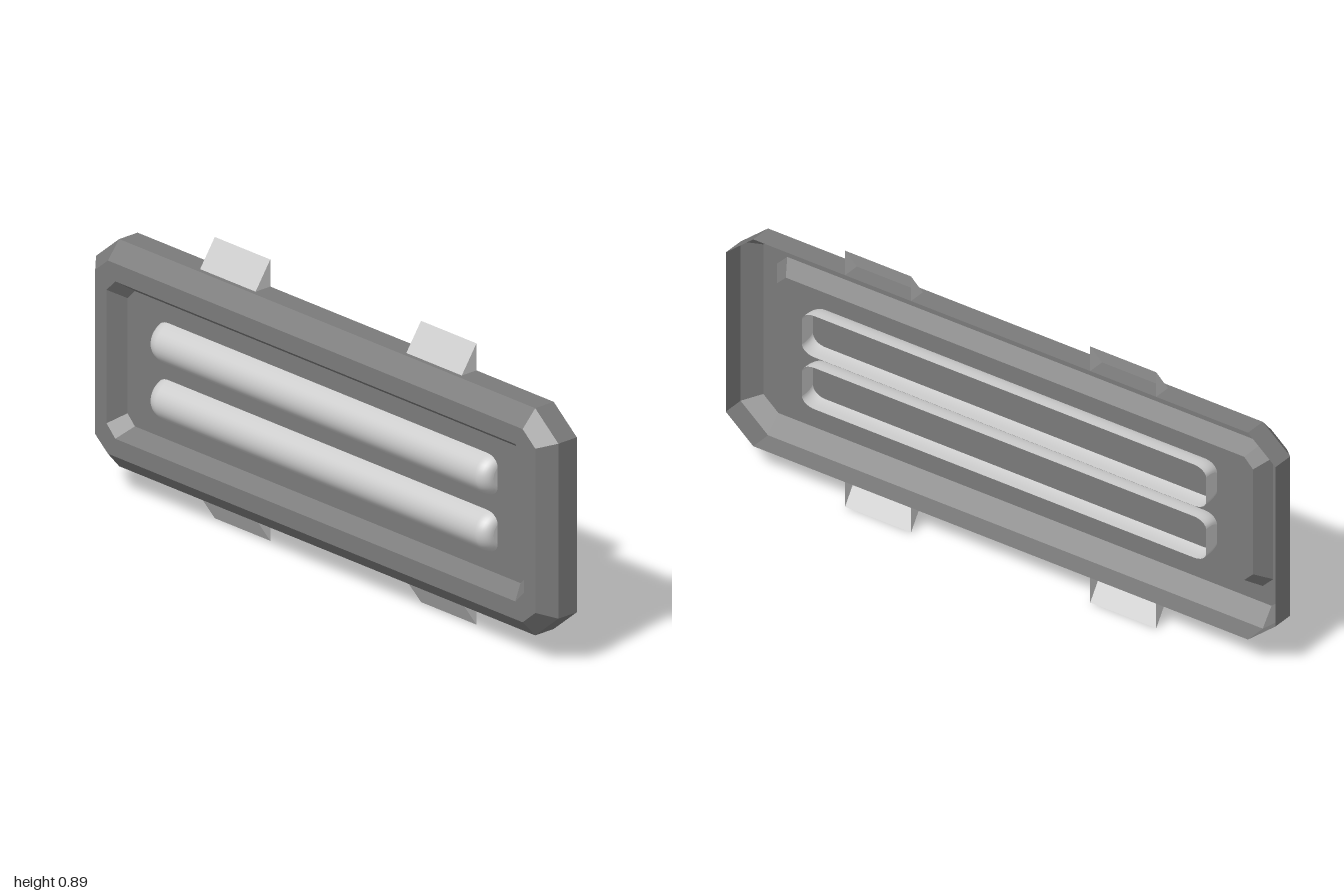
import * as THREE from 'three';

const MID_Y = 0.447;
const dark = new THREE.MeshStandardMaterial({ color: 0x7a7a7a, flatShading: true, side: THREE.DoubleSide });
const light = new THREE.MeshStandardMaterial({ color: 0xcccccc, flatShading: true, side: THREE.DoubleSide });
const smooth = new THREE.MeshStandardMaterial({ color: 0xcccccc, side: THREE.DoubleSide });

// Rectangle with cut corners, counter-clockwise seen from the front
function octagon(hx, hy, cx, cy, z) {
  return [
    [hx, -hy + cy], [hx, hy - cy], [hx - cx, hy], [-hx + cx, hy],
    [-hx, hy - cy], [-hx, -hy + cy], [-hx + cx, -hy], [hx - cx, -hy],
  ].map(([x, y]) => new THREE.Vector3(x, y, z));
}

// Skin between successive loops; the last loop can be filled with a fan
function loft(loops, { closed = true, capStart = false, capEnd = false } = {}) {
  const n = loops[0].length;
  const points = loops.flat();
  const index = [];
  for (let i = 0; i < loops.length - 1; i++) {
    for (let j = 0; j < (closed ? n : n - 1); j++) {
      const a = i * n + j, b = i * n + ((j + 1) % n);
      index.push(a, b, b + n, a, b + n, a + n);
    }
  }
  const cap = (loop, flip) => {
    const base = points.length;
    points.push(...loop);
    for (let j = 1; j < n - 1; j++) {
      index.push(base, base + (flip ? j + 1 : j), base + (flip ? j : j + 1));
    }
  };
  if (capStart) cap(loops[0], true);
  if (capEnd) cap(loops[loops.length - 1], false);
  const geometry = new THREE.BufferGeometry().setFromPoints(points);
  geometry.setIndex(index);
  geometry.computeVertexNormals();
  return geometry;
}

function add(parent, name, geometry, material) {
  const mesh = new THREE.Mesh(geometry, material);
  mesh.name = name;
  parent.add(mesh);
  return mesh;
}

// Half-round hollow bar along x, open at the back, with rounded ends
function lampTube() {
  const halfLength = 0.735, endLength = 0.045, zMid = -0.028, zBack = -0.045;
  const section = (x, s) => {
    const loop = [new THREE.Vector3(x, -0.072 * s, zBack)];
    for (let j = 0; j <= 20; j++) {
      const a = -Math.PI / 2 + (Math.PI * j) / 20;
      loop.push(new THREE.Vector3(x, 0.072 * s * Math.sin(a), zMid + 0.09 * s * Math.cos(a)));
    }
    loop.push(new THREE.Vector3(x, 0.072 * s, zBack));
    return loop;
  };
  const ends = [];
  for (let i = 0; i <= 8; i++) {
    const t = (Math.PI / 2) * (i / 8);
    ends.push([halfLength - endLength * (1 - Math.cos(t)), 0.6 + 0.4 * Math.sin(t)]);
  }
  const loops = [
    ...ends.map(([x, s]) => section(-x, s)),
    ...ends.reverse().map(([x, s]) => section(x, s)),
  ];
  return loft(loops, { closed: false, capStart: true, capEnd: true });
}

// Wedge-shaped clip: a sloped face and two triangular cheeks, open at the back
function clip() {
  const h = 0.12, base = 0.361, tip = 0.447, front = -0.003, back = -0.062;
  const v = [
    [-h, base, front], [h, base, front], [h, tip, back], [-h, tip, back],
    [-h, base, back], [h, base, back],
  ];
  const geometry = new THREE.BufferGeometry();
  geometry.setAttribute('position', new THREE.Float32BufferAttribute(v.flat(), 3));
  geometry.setIndex([0, 1, 2, 0, 2, 3, 0, 3, 4, 1, 5, 2]);
  geometry.computeVertexNormals();
  return geometry;
}

export function createModel() {
  const group = new THREE.Group();
  group.name = 'lightFixture';

  const body = new THREE.Group();
  body.name = 'body';
  body.position.y = MID_Y;
  group.add(body);

  // Hollow housing: side walls, front bevel, flat rim, sloped recess
  const rings = [
    octagon(1, 0.361, 0.1, 0.083, -0.062),
    octagon(1, 0.361, 0.1, 0.083, 0.012),
    octagon(0.952, 0.307, 0.055, 0.046, 0.06),
    octagon(0.903, 0.25, 0.038, 0.038, 0.06),
    octagon(0.866, 0.215, 0.032, 0.032, 0.01),
  ];
  add(body, 'housing', loft(rings), dark);
  add(body, 'backPanel', loft([rings[4], rings[4]], { capEnd: true }), dark);

  // Two lamp tubes
  const tube = lampTube();
  for (const [name, y] of [['upperTube', 0.091], ['lowerTube', -0.09]]) {
    add(body, name, tube, smooth).position.y = y;
  }

  // Two clips above, two below
  const clipGeometry = clip();
  for (const x of [-0.446, 0.446]) {
    const side = x > 0 ? 'Left' : 'Right';
    add(body, 'topClip' + side, clipGeometry, light).position.x = x;
    const lower = add(body, 'bottomClip' + side, clipGeometry, light);
    lower.position.x = x;
    lower.scale.y = -1;
  }
  return group;
}
